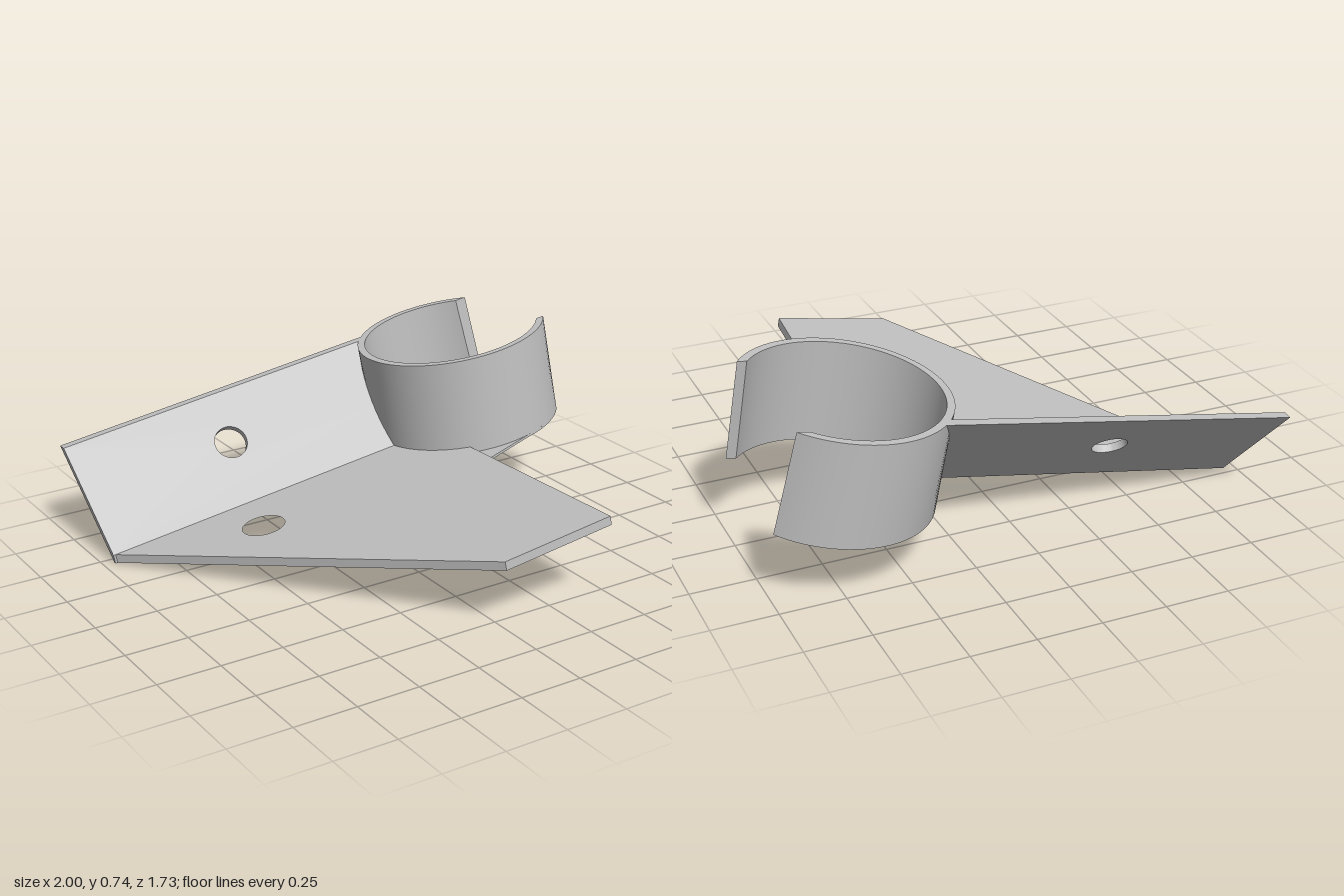
import * as THREE from 'three';
import { toCreasedNormals } from 'three/addons/utils/BufferGeometryUtils.js';

// Local frame: x along the fold, y out of the base plate, z away from the fold
const HEIGHT = 0.412, PLATE = 0.036, LEAN = 0.793, WALL = 0.04;
const CX = 1.676, CZ = -0.053, OUTER = 0.395, INNER = 0.365, JOIN = 0.38;

function warp(geometry, rule) {
  const p = geometry.attributes.position;
  for (let i = 0; i < p.count; i++) p.setXYZ(i, ...rule(p.getX(i), p.getY(i), p.getZ(i)));
  return toCreasedNormals(geometry, 0.5);
}

// Flat plate lying on y = 0, outlined in x and z
function flatPlate(shape, depth) {
  const g = new THREE.ExtrudeGeometry(shape, { depth, bevelEnabled: false, curveSegments: 32 });
  g.rotateX(Math.PI / 2).translate(0, depth, 0);
  return toCreasedNormals(g, 0.5);
}

export function createModel() {
  const metal = new THREE.MeshStandardMaterial({ color: 0xc0c0c0 });
  metal.name = 'greyMetal';

  const bracket = new THREE.Group();
  bracket.name = 'bracket';
  const add = (name, geometry) => {
    const mesh = new THREE.Mesh(geometry, metal);
    mesh.name = name;
    bracket.add(mesh);
  };

  // Base plate with a round hole, cut away along the clamp
  const base = new THREE.Shape();
  base.moveTo(0, 0);
  base.lineTo(1.022, 1.263);
  base.lineTo(1.489, 1.262);
  base.absarc(CX, CZ, JOIN, 2.085, 3.0, false);
  base.closePath();
  base.holes.push(new THREE.Path().absarc(0.543, 0.259, 0.085, 0, Math.PI * 2, true));
  add('basePlate', flatPlate(base, PLATE));

  // Thin web running tangent from the plate corner to the clamp
  const web = new THREE.Shape();
  web.moveTo(1.489, 0.41);
  web.lineTo(1.835, 0.311);
  web.absarc(CX, CZ, JOIN, 1.159, 2.085, false);
  web.closePath();
  add('cornerWeb', flatPlate(web, 0.01));

  // Leaning wall: a sheared slab whose far end follows the clamp
  const wall = new THREE.Shape();
  wall.moveTo(0, 0);
  wall.lineTo(1.3, 0);
  for (let i = 0; i <= 10; i++) wall.lineTo(1.3, PLATE + (HEIGHT - PLATE) * i / 10);
  wall.lineTo(0, HEIGHT);
  wall.lineTo(0, PLATE);
  wall.closePath();
  wall.holes.push(new THREE.Path().absellipse(0.643, 0.222, 0.068, 0.053, 0, Math.PI * 2, true));
  const slab = new THREE.ExtrudeGeometry(wall, { depth: WALL, bevelEnabled: false, curveSegments: 32 });
  add('leaningWall', warp(slab, (x, y, w) => {
    // the hole runs square to the leaning face
    if (x > 0.3 && x < 1) y += 0.49 * w;
    const z = Math.min(w - LEAN * y, 0.011);
    if (x > 1) x = CX - Math.sqrt(JOIN ** 2 - (z - CZ) ** 2);
    return [x, y, z];
  }));

  // Open clamp ring: a long box bent round, with its slot cut along x
  const bar = new THREE.BoxGeometry(1, 1, 1, 72, 1, 1);
  add('clampRing', warp(bar, (x, y, z) => {
    const r = z > 0 ? OUTER : INNER, k = y + 0.5;
    const start = Math.asin((0.2375 - 0.0245 * k) / r);
    const end = Math.PI * 2 - Math.asin((0.278 + 0.018 * k) / r);
    const a = end + (start - end) * (x + 0.5);
    return [CX + r * Math.cos(a), k * HEIGHT, CZ + r * Math.sin(a)];
  }));

  // Tilt the whole bracket so it rests on its corner
  const up = new THREE.Vector3(-0.16, 1, -0.077).normalize();
  const side = new THREE.Vector3(-0.0575, 0.0677, 0.9965).normalize();
  const along = new THREE.Vector3().crossVectors(up, side).normalize();
  side.crossVectors(along, up);
  bracket.quaternion.setFromRotationMatrix(new THREE.Matrix4().makeBasis(along, up, side));
  bracket.position.set(-0.955, 0, -0.465);

  const model = new THREE.Group();
  model.name = 'clampBracket';
  model.add(bracket);
  return model;
}
